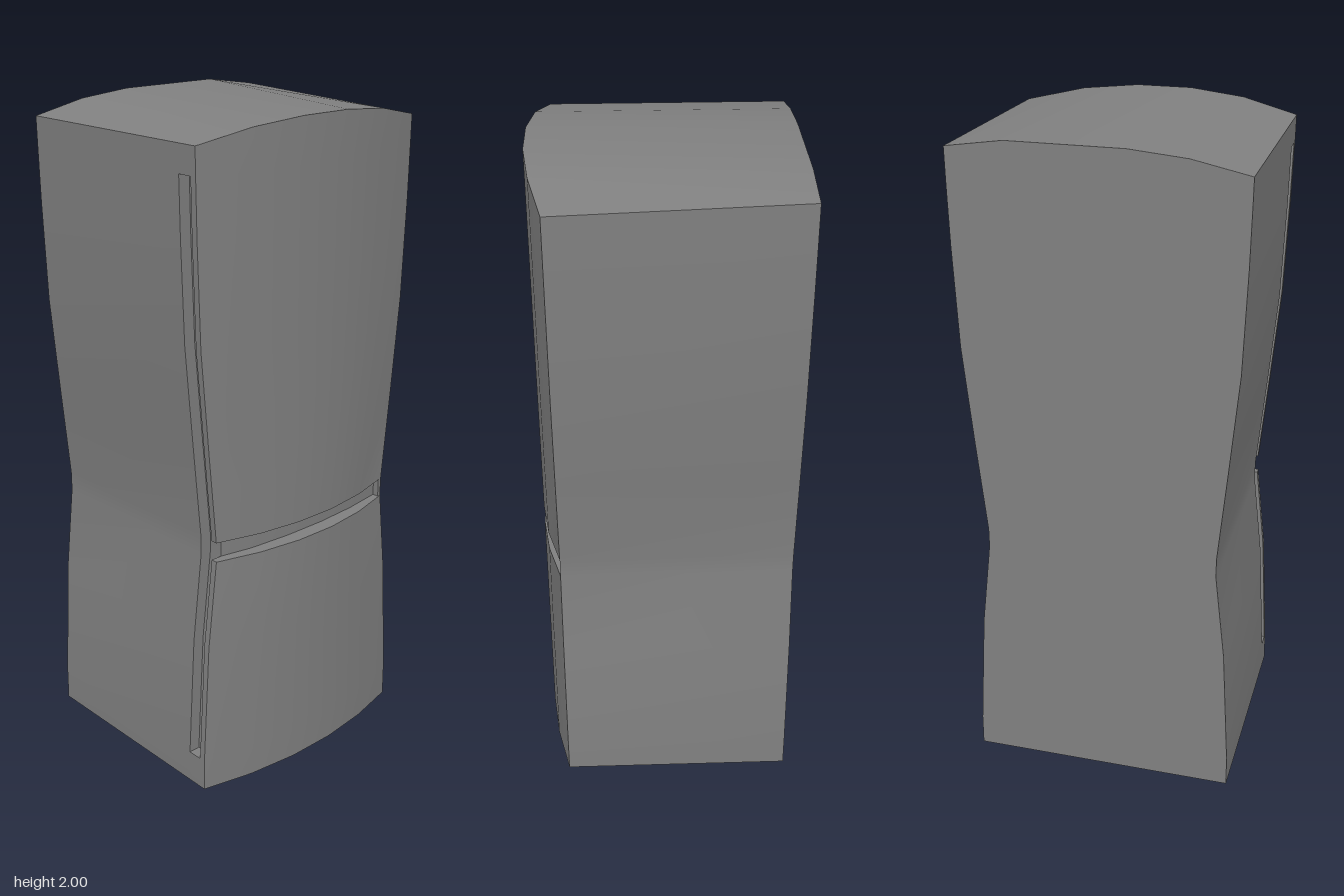
import * as THREE from 'three';
import { toCreasedNormals } from 'three/addons/utils/BufferGeometryUtils.js';

const BACK = -0.38;
const SLOT_BACK = 0.255, SLOT_FRONT = 0.302, SLOT_DEPTH = 0.036;
const FRACTIONS = [-1, -0.6, -0.2, 0.2, 0.6, 1];
const FRONT_Z = [0.322, 0.36, 0.379, 0.379, 0.36, 0.322];
const FLOOR_Z = [0.302, 0.322, 0.332, 0.332, 0.322, 0.302];
const TOP_FRONT = [1.95, 1.985, 2, 2, 1.985, 1.95];
const TOP_BACK = [1.95, 1.985, 2, 2, 2, 1.975];

// one horizontal section: 6 front points, 2 right rim points, 6 back points, 4 left slot points
function section({ y, left, right, slot = false, notch = false, top = false }) {
  const mid = (right - left) / 2, half = (right + left) / 2;
  const slotX = slot ? -left + SLOT_DEPTH : -left;
  const frontLeft = notch ? slotX : -left;
  const frontRight = notch ? right - 0.011 : right;
  const frontY = i => (top ? TOP_FRONT[i] : y);
  const front = FRACTIONS.map((f, i) => [
    THREE.MathUtils.clamp(mid + f * half, frontLeft, frontRight),
    frontY(i), notch ? FLOOR_Z[i] : FRONT_Z[i]]);
  const rim = [[frontRight, frontY(5), FRONT_Z[5]], [right, frontY(5), FRONT_Z[5]]];
  const back = FRACTIONS.map((f, i) => [mid + f * half, top ? TOP_BACK[i] : y, BACK]).reverse();
  const side = [
    [-left, y, SLOT_BACK], [slotX, y, SLOT_BACK], [slotX, y, SLOT_FRONT], [frontLeft, y, SLOT_FRONT]];
  return [...front, ...rim, ...back, ...side];
}

// waisted column with a front notch and a narrow slot down the -x side
function bodyGeometry() {
  const rings = [
    { y: 0, left: 0.405, right: 0.405 },
    { y: 0.1, left: 0.404, right: 0.404 },
    { y: 0.1, left: 0.404, right: 0.404, slot: true },
    { y: 0.48, left: 0.383, right: 0.38, slot: true },
    { y: 0.754, left: 0.352, right: 0.348, slot: true },
    { y: 0.754, left: 0.352, right: 0.348, slot: true, notch: true },
    { y: 0.814, left: 0.352, right: 0.348, slot: true, notch: true },
    { y: 0.814, left: 0.352, right: 0.348, slot: true },
    { y: 1.1, left: 0.378, right: 0.376, slot: true },
    { y: 1.4, left: 0.404, right: 0.403, slot: true },
    { y: 1.7, left: 0.414, right: 0.414, slot: true },
    { y: 1.87, left: 0.417, right: 0.417, slot: true },
    { y: 1.87, left: 0.417, right: 0.417 },
    { y: 1.95, left: 0.418, right: 0.418, top: true },
  ].map(section);

  const positions = [];
  const triangle = (a, b, c) => {
    const area = new THREE.Triangle(...[a, b, c].map(p => new THREE.Vector3(...p))).getArea();
    if (area > 1e-8) positions.push(...a, ...b, ...c);
  };
  const quad = (a, b, c, d) => {
    triangle(a, b, c);
    triangle(a, c, d);
  };
  for (let r = 0; r < rings.length - 1; r++) {
    const low = rings[r], high = rings[r + 1], n = low.length;
    for (let i = 0; i < n; i++) {
      const j = (i + 1) % n;
      quad(low[i], low[j], high[j], high[i]);
    }
  }
  // domed top and flat bottom
  const bottom = rings[0], top = rings[rings.length - 1];
  for (let i = 0; i < 5; i++) {
    quad(top[i], top[i + 1], top[12 - i], top[13 - i]);
    quad(bottom[13 - i], bottom[12 - i], bottom[i + 1], bottom[i]);
  }
  const geometry = new THREE.BufferGeometry();
  geometry.setAttribute('position', new THREE.Float32BufferAttribute(positions, 3));
  return toCreasedNormals(geometry, 0.4);
}

export function createModel() {
  const model = new THREE.Group();
  model.name = 'waistedColumn';
  const body = new THREE.Mesh(bodyGeometry(), new THREE.MeshStandardMaterial({ color: 0x808080 }));
  body.name = 'notchedBody';
  model.add(body);
  return model;
}
